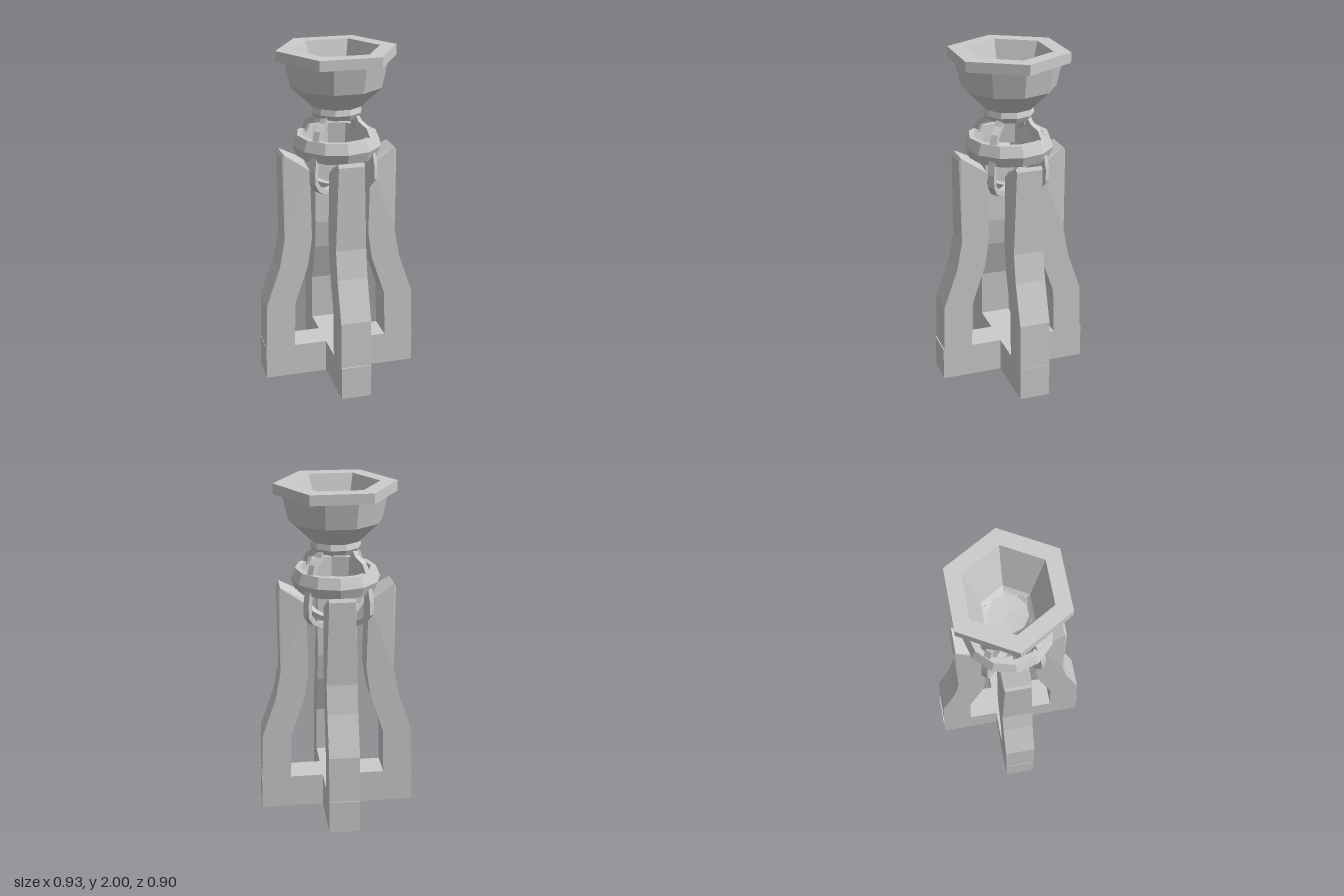
import * as THREE from 'three';

const grey = new THREE.MeshStandardMaterial({ color: 0xcccccc, flatShading: true });
const v2 = (pts) => pts.map(([x, y]) => new THREE.Vector2(x, y));

// Faceted turned part with a corner on the +x axis
function turned(name, pts, sides) {
  const mesh = new THREE.Mesh(new THREE.LatheGeometry(v2(pts), sides, Math.PI / 2), grey);
  mesh.name = name;
  return mesh;
}

// Bent leg with a sloping top; inset pulls the whole leg toward the axis
function legGeometry(inset) {
  const shape = new THREE.Shape(v2([
    [0.461, 0.19], [0.453, 0.48], [0.37, 0.72], [0.338, 0.89], [0.343, 1.39],
    [0.33, 1.41], [0.2, 1.345], [0.182, 1.31], [0.173, 0.89], [0.198, 0.72],
    [0.278, 0.48], [0.286, 0.19],
  ]));
  const geo = new THREE.ExtrudeGeometry(shape, { depth: 0.18, bevelEnabled: false });
  geo.translate(-inset, 0, -0.09);
  // narrow the top edges into a small chamfer
  const p = geo.attributes.position;
  for (let i = 0; i < p.count; i++) {
    if (p.getY(i) > 1.34) p.setZ(i, p.getZ(i) * (p.getY(i) > 1.4 ? 0.87 : 0.83));
  }
  geo.computeVertexNormals();
  return geo;
}

// Flat cage strip swept along a radial path (r, y), with a rectangular section
function stripGeometry(path, width, thick) {
  const pos = [], idx = [];
  path.forEach(([r, y], i) => {
    const a = path[Math.max(i - 1, 0)], b = path[Math.min(i + 1, path.length - 1)];
    const len = Math.hypot(b[0] - a[0], b[1] - a[1]);
    const nr = -(b[1] - a[1]) / len * thick / 2, ny = (b[0] - a[0]) / len * thick / 2;
    for (const [s, w] of [[1, 1], [1, -1], [-1, -1], [-1, 1]]) {
      pos.push(r + s * nr, y + s * ny, w * width / 2);
    }
    if (i > 0) {
      for (let k = 0; k < 4; k++) {
        const p = (i - 1) * 4 + k, q = (i - 1) * 4 + (k + 1) % 4;
        idx.push(p, q, p + 4, q, q + 4, p + 4);
      }
    }
  });
  const geo = new THREE.BufferGeometry();
  geo.setAttribute('position', new THREE.Float32BufferAttribute(pos, 3));
  geo.setIndex(idx);
  geo.computeVertexNormals();
  return geo;
}

export function createModel() {
  const model = new THREE.Group();
  model.name = 'brazierStand';

  // Crossed base beams
  for (const [name, w, d, z] of [['baseBeamX', 0.926, 0.18, -0.006], ['baseBeamZ', 0.18, 0.896, 0]]) {
    const beam = new THREE.Mesh(new THREE.BoxGeometry(w, 0.2, d), grey);
    beam.position.set(0, 0.1, z);
    beam.name = name;
    model.add(beam);
  }

  // Four legs, the front and back pair slightly closer in
  const sideLeg = legGeometry(0), frontLeg = legGeometry(0.019);
  ['leftLeg', 'backLeg', 'rightLeg', 'frontLeg'].forEach((name, i) => {
    const leg = new THREE.Mesh(i % 2 ? frontLeg : sideLeg, grey);
    leg.rotation.y = i * Math.PI / 2;
    if (i % 2 === 0) leg.position.z = -0.006;
    leg.name = name;
    model.add(leg);
  });

  // Hollow collar resting on the legs
  model.add(turned('collar', [
    [0.2, 1.38], [0.238, 1.38], [0.262, 1.44], [0.236, 1.503], [0.205, 1.503], [0.2, 1.38],
  ], 12));

  // Four cage strips from the neck, through the collar, to the bottom centre
  const strip = stripGeometry([
    [0.115, 1.625], [0.14, 1.58], [0.19, 1.545], [0.208, 1.5], [0.225, 1.42], [0.24, 1.33],
    [0.24, 1.26], [0.205, 1.215], [0.15, 1.185], [0.09, 1.172], [0, 1.17],
  ], 0.04, 0.03);
  const cage = new THREE.Group();
  cage.name = 'cage';
  for (const angle of [42, 138, 222, 318]) {
    const rib = new THREE.Mesh(strip, new THREE.MeshStandardMaterial({
      color: 0xcccccc, flatShading: true, side: THREE.DoubleSide,
    }));
    rib.rotation.y = THREE.MathUtils.degToRad(angle);
    rib.name = 'cageStrip';
    cage.add(rib);
  }
  model.add(cage);

  // Neck with a shallow dished top that closes the bowl
  model.add(turned('neck', [
    [0, 1.605], [0.132, 1.605], [0.149, 1.635], [0.138, 1.672], [0.135, 1.685], [0.115, 1.668], [0, 1.66],
  ], 10));

  // Bowl: ten-sided outside, six-sided rim and inside
  model.add(turned('bowlBody', [[0.13, 1.67], [0.15, 1.672], [0.272, 1.79], [0.307, 1.95]], 10));
  model.add(turned('bowlRim', [
    [0.25, 1.94], [0.355, 1.94], [0.355, 2], [0.255, 2], [0.157, 1.7], [0.135, 1.68],
  ], 6));

  return model;
}
